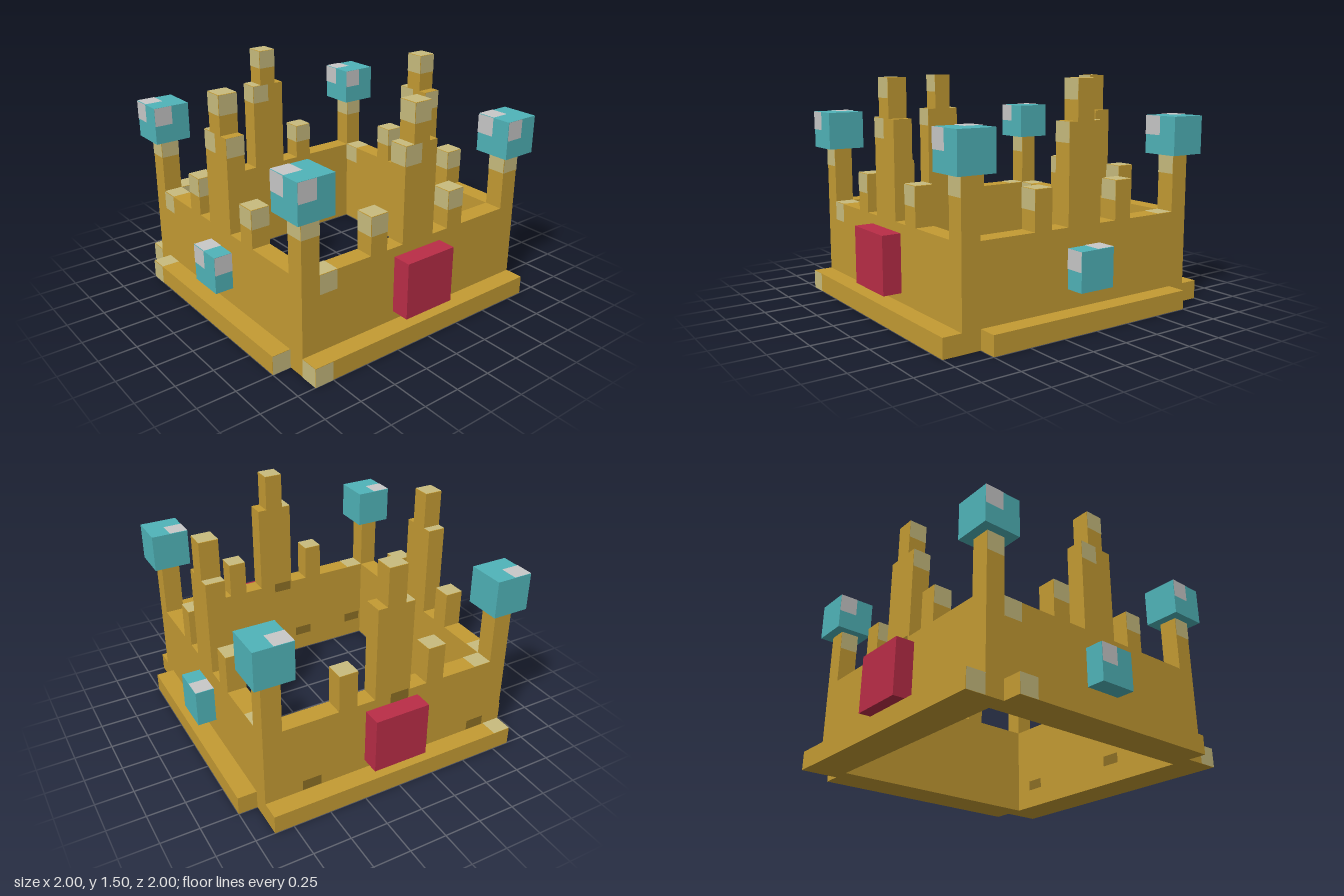
import * as THREE from 'three';

const mat = (name, color) => Object.assign(new THREE.MeshStandardMaterial({ color }), { name });

export function createModel() {
  const crown = new THREE.Group();
  crown.name = 'crown';
  const gold = mat('gold', 0xc49b33);
  const paleGold = mat('pale gold', 0xc8bc7e);
  const darkGold = mat('dark gold', 0x8c6f25);
  const teal = mat('teal gem', 0x50b4b9);
  const silver = mat('gem glint', 0xc8c8c8);
  const red = mat('red gem', 0xba2d47);
  const U = 0.125, LIFT = 0.003;

  // Flat painted patch facing +z, -z, -x or +y
  function patch(parent, name, material, w, h, x, y, z, facing) {
    const m = new THREE.Mesh(new THREE.PlaneGeometry(w, h), material);
    if (facing === 'left') m.rotation.y = -Math.PI / 2;
    if (facing === 'back') m.rotation.y = Math.PI;
    if (facing === 'up') m.rotation.x = -Math.PI / 2;
    m.position.set(x, y, z);
    m.name = name;
    parent.add(m);
  }

  // Box from its extents, with glints in the corner of the listed faces
  function block(name, material, [x0, x1], [y0, y1], [z0, z1], glint, faces = 'flu') {
    const g = new THREE.Group();
    g.name = name;
    const m = new THREE.Mesh(new THREE.BoxGeometry(x1 - x0, y1 - y0, z1 - z0), material);
    m.position.set((x0 + x1) / 2, (y0 + y1) / 2, (z0 + z1) / 2);
    m.name = name + 'Body';
    g.add(m);
    if (glint) {
      const w = Math.min(U, x1 - x0), h = Math.min(U, y1 - y0), d = Math.min(U, z1 - z0);
      const x = x0 + w / 2, y = y1 - h / 2, z = z0 + d / 2;
      if (faces.includes('f')) patch(g, 'frontGlint', glint, w, h, x, y, z1 + LIFT);
      if (faces.includes('l')) patch(g, 'sideGlint', glint, d, h, x0 - LIFT, y, z, 'left');
      if (faces.includes('u')) patch(g, 'topGlint', glint, w, d, x, y1 + LIFT, z, 'up');
    }
    crown.add(g);
  }

  const span = (c, half) => [c - half, c + half];

  // Corner posts topped with cube gems
  for (const sx of [-1, 1]) for (const sz of [-1, 1]) {
    const x = 0.8125 * sx, z = 0.8125 * sz;
    block('cornerPost', gold, span(x, U / 2), [0, 1], span(z, U / 2), paleGold, 'fl');
    block('cornerGem', teal, span(x, U), [1, 1.25], span(z, U), silver);
  }

  // Walls with a stepped centre spire and two short points each
  for (const s of [-1, 1]) for (const alongX of [true, false]) {
    const across = span(0.8125 * s, U / 2);
    const piece = (name, along, ys, faces) => alongX
      ? block(name, gold, along, ys, across, paleGold, faces)
      : block(name, gold, across, ys, along, paleGold, faces);
    piece('wall', [-0.75, 0.75], [0, 0.625], alongX ? 'fu' : 'lu');
    piece('spire', [-U, U], [0.625, 1.25]);
    piece('spireTip', [-U / 2, U / 2], [1.25, 1.5]);
    for (const c of [-0.3125, 0.3125]) piece('shortPoint', span(c, U / 2), [0.625, 0.875]);
  }

  // Base rims and set gems
  for (const s of [-1, 1]) {
    const out = span(0.9375 * s, U / 2);
    block('rim', gold, [-0.875, 0.875], [0, U], out, paleGold, s > 0 ? 'fl' : 'lu');
    block('sideRim', gold, out, [0, U], [-0.75, 0.75], s < 0 ? paleGold : null);
    block('redGem', red, [-0.1875, 0.1875], [0.1875, 0.5625], out);
    block('sideGem', teal, out, [0.25, 0.5], [-U, U], silver, s < 0 ? 'flu' : 'fu');
  }

  // Worn spots on the rear faces of the front and back walls
  for (const z of [-0.875, 0.75])
    for (const [x, y] of [[0.56, 0.165], [-0.22, 0.165], [-0.67, 0.165], [-0.05, 0.6]])
      patch(crown, 'wornSpot', darkGold, 0.13, 0.07, x, y, z - LIFT, 'back');

  return crown;
}
